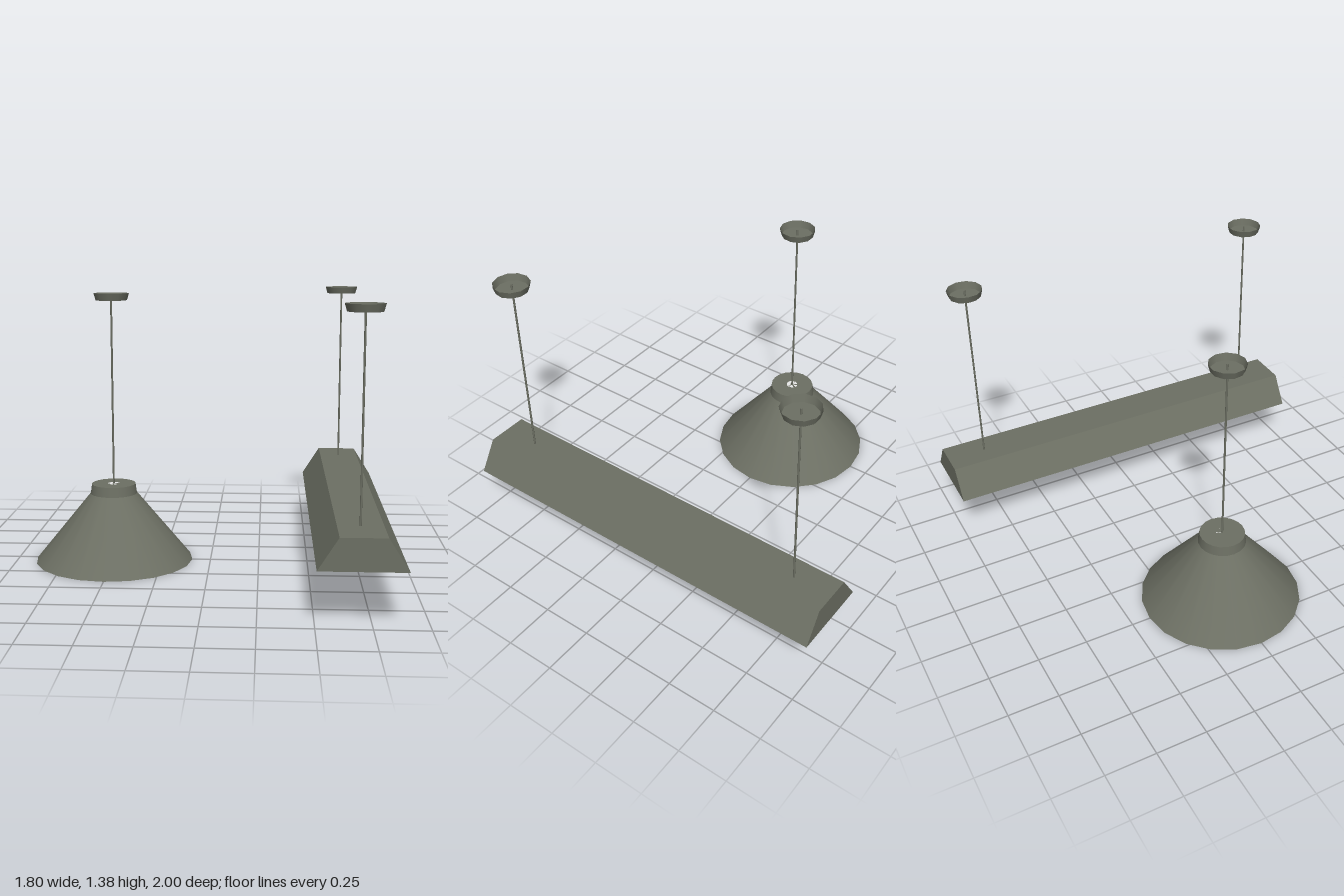
import * as THREE from 'three';

const metal = new THREE.MeshStandardMaterial({ color: 0x6c6f63, side: THREE.DoubleSide });
metal.name = 'grey green metal';
const white = new THREE.MeshStandardMaterial({ color: 0xf2f2f2, side: THREE.DoubleSide });
white.name = 'white enamel';

function add(parent, name, geometry, material, x = 0, y = 0, z = 0) {
  const mesh = new THREE.Mesh(geometry, material);
  mesh.name = name;
  mesh.position.set(x, y, z);
  parent.add(mesh);
  return mesh;
}

// Surface of revolution from [radius, height] pairs
function lathe(points, sides) {
  return new THREE.LatheGeometry(points.map(([r, y]) => new THREE.Vector2(r, y)), sides);
}

// Thin cord topped by an open ceiling cup
function suspension(parent, x, z) {
  const group = new THREE.Group();
  group.name = 'suspension';
  group.position.set(x, 0, z);
  add(group, 'cord', new THREE.CylinderGeometry(0.005, 0.005, 0.97, 8), metal, 0, 0.885, 0);
  add(group, 'ceilingCupWall', lathe([[0.08, 1.34], [0.09, 1.375]], 11), metal);
  const base = add(group, 'ceilingCupBase', new THREE.CircleGeometry(0.08, 11), metal, 0, 1.34, 0);
  base.rotation.set(Math.PI / 2, 0, Math.PI / 2);
  parent.add(group);
}

// Trapezoid trough, open underneath; inset shrinks it to make the lining
function trough(inset) {
  const b = 0.198 - inset, t = 0.104 - inset, top = 0.404 - inset, bottom = 0.255, l = 1 - inset;
  const section = [[-b, bottom], [-t, top], [t, top], [b, bottom]];
  const front = section.map(([x, y]) => [x, y, l]);
  const back = section.map(([x, y]) => [x, y, -l]);
  const quads = [[front[3], front[2], front[1], front[0]], [back[0], back[1], back[2], back[3]]];
  for (let i = 0; i < 3; i++) quads.push([front[i], front[i + 1], back[i + 1], back[i]]);
  const positions = quads.flatMap(([p, q, r, s]) => [p, q, r, p, r, s].flat());
  const geometry = new THREE.BufferGeometry();
  geometry.setAttribute('position', new THREE.Float32BufferAttribute(positions, 3));
  geometry.computeVertexNormals();
  return geometry;
}

export function createModel() {
  const model = new THREE.Group();
  model.name = 'hangingLamps';

  // Round pendant lamp
  const pendant = new THREE.Group();
  pendant.name = 'pendantLamp';
  pendant.position.x = -0.5;
  add(pendant, 'shade', lathe([[0.405, 0], [0.12, 0.35]], 20), metal);
  add(pendant, 'shadeNeck', lathe([[0.12, 0.35], [0.113, 0.4]], 20), metal);
  const cap = add(pendant, 'shadeCap', new THREE.CircleGeometry(0.113, 20), metal, 0, 0.4, 0);
  cap.rotation.x = -Math.PI / 2;
  add(pendant, 'bulb', new THREE.SphereGeometry(0.06, 20, 14), white, 0, 0.23, 0);
  add(pendant, 'bulbSocket', new THREE.CylinderGeometry(0.03, 0.03, 0.13, 12), white, 0, 0.335, 0);
  suspension(pendant, 0, 0);
  model.add(pendant);

  // Long strip lamp with two tubes
  const strip = new THREE.Group();
  strip.name = 'stripLamp';
  strip.position.x = 0.702;
  add(strip, 'housing', trough(0), metal);
  add(strip, 'reflector', trough(0.004), white);
  for (const side of [-1, 1]) {
    const tube = add(strip, 'lightTube', new THREE.CapsuleGeometry(0.03, 1.84, 6, 14), white, side * 0.07, 0.305, 0);
    tube.rotation.x = Math.PI / 2;
    suspension(strip, 0, side * 0.8);
  }
  model.add(strip);
  return model;
}
